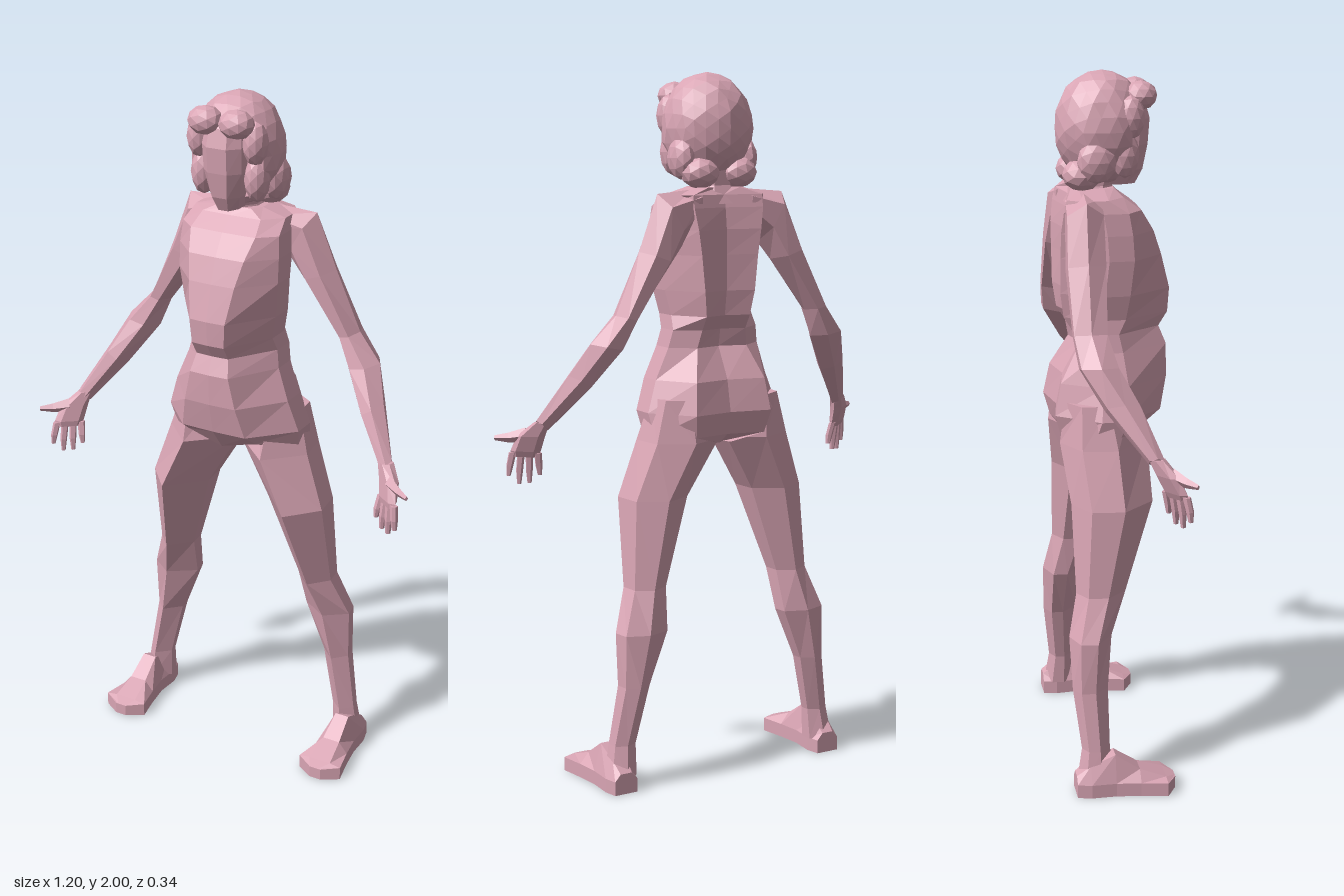
import * as THREE from 'three';

const skin = new THREE.MeshStandardMaterial({ color: 0xd9a5b4 });
skin.name = 'dustyPink';

// Faceted mesh: every triangle keeps its own normal
function faceted(name, geo) {
  const g = geo.index ? geo.toNonIndexed() : geo;
  g.deleteAttribute('uv');
  g.computeVertexNormals();
  const m = new THREE.Mesh(g, skin);
  m.name = name;
  return m;
}

// Closed skin over a list of equal-length rings; side = -1 mirrors in x
function loft(name, rings, side = 1) {
  const n = rings[0].length, pos = [], idx = [];
  rings.forEach(r => r.forEach(p => pos.push(p[0] * side, p[1], p[2])));
  for (let i = 0; i < rings.length - 1; i++) {
    for (let j = 0; j < n; j++) {
      const a = i * n + j, b = i * n + (j + 1) % n;
      idx.push(a, b, b + n, a, b + n, a + n);
    }
  }
  const e = (rings.length - 1) * n;
  for (let j = 1; j < n - 1; j++) idx.push(0, j + 1, j, e, e + j, e + j + 1);
  // Signed volume tells whether the winding faces outward
  const v = k => new THREE.Vector3().fromArray(pos, k * 3);
  let vol = 0;
  for (let k = 0; k < idx.length; k += 3) vol += v(idx[k]).dot(v(idx[k + 1]).cross(v(idx[k + 2])));
  if (vol < 0) idx.reverse();
  const g = new THREE.BufferGeometry();
  g.setAttribute('position', new THREE.Float32BufferAttribute(pos, 3));
  g.setIndex(idx);
  return faceted(name, g);
}

// Torso ring: front panel, flanks, back with a shallow spine groove
const torsoRing = ([y, fx, zf, hw, zs, bx, zb], dip = 0) => [
  [-fx, y + dip, zf], [0, y, zf + 0.003], [fx, y + dip, zf], [hw, y, zs], [hw, y, zs - 0.07],
  [bx, y, zb], [0, y, zb + 0.02], [-bx, y, zb], [-hw, y, zs - 0.07], [-hw, y, zs]];

function torso() {
  const rows = [
    [0.97, 0.02, 0.0, 0.03, -0.03, 0.02, -0.12],
    [0.995, 0.11, 0.085, 0.20, 0.0, 0.11, -0.15],
    [1.06, 0.10, 0.135, 0.21, 0.02, 0.12, -0.168],
    [1.15, 0.08, 0.155, 0.18, 0.03, 0.11, -0.15],
    [1.24, 0.06, 0.158, 0.145, 0.02, 0.08, -0.10],
    [1.29, 0.05, 0.138, 0.135, 0.01, 0.07, -0.11],
    [1.33, 0.05, 0.163, 0.13, 0.03, 0.07, -0.135],
    [1.40, 0.055, 0.167, 0.145, 0.04, 0.08, -0.145],
    [1.50, 0.07, 0.14, 0.155, 0.05, 0.09, -0.145],
    [1.57, 0.085, 0.115, 0.155, 0.045, 0.10, -0.145],
    [1.63, 0.10, 0.078, 0.15, 0.035, 0.11, -0.138],
    [1.665, 0.09, 0.03, 0.14, -0.02, 0.11, -0.13],
    [1.685, 0.05, 0.01, 0.07, -0.02, 0.05, -0.11]];
  return loft('torso', rows.map((r, i) => torsoRing(r, i === 1 ? 0.03 : 0)));
}

// Six-sided arm ring from an inner to an outer point
function armRing([ax, ay, bx, by, z, d]) {
  const at = (t, dz) => [ax + (bx - ax) * t, ay + (by - ay) * t, z + dz];
  return [at(0, 0), at(0.3, d), at(0.75, d), at(1, 0), at(0.75, -d), at(0.3, -d)];
}

function arm(side) {
  return loft('arm', [
    [0.08, 1.60, 0.08, 1.68, -0.08, 0.05],
    [0.12, 1.53, 0.20, 1.67, -0.09, 0.05],
    [0.16, 1.48, 0.26, 1.515, -0.095, 0.052],
    [0.275, 1.33, 0.335, 1.345, -0.10, 0.045],
    [0.305, 1.25, 0.405, 1.27, -0.085, 0.05],
    [0.38, 1.14, 0.445, 1.18, -0.03, 0.045],
    [0.475, 1.02, 0.51, 1.05, 0.045, 0.02]].map(armRing), side);
}

// Flat ring across the palm
const palmRing = ([x, y, z, w, t]) => [[-1, 0], [-0.6, 1], [0.6, 1], [1, 0], [0.6, -1], [-0.6, -1]]
  .map(([u, n]) => [x + 0.8 * u * w - 0.6 * n * t, y, z + 0.6 * u * w + 0.8 * n * t]);

function hand(side) {
  const g = new THREE.Group();
  g.name = 'hand';
  g.add(loft('palm', [
    [0.492, 1.045, 0.045, 0.022, 0.018],
    [0.515, 1.005, 0.07, 0.04, 0.018],
    [0.523, 0.96, 0.09, 0.043, 0.014],
    [0.523, 0.943, 0.094, 0.038, 0.009]].map(palmRing), side));
  const lengths = [0.06, 0.082, 0.085, 0.062];
  lengths.forEach((len, i) => {
    const u = (i - 1.5) * 0.024;
    const x = 0.523 + 0.8 * u, z = 0.092 + 0.6 * u;
    g.add(loft('finger', [
      [x, 0.955, z, 0.011, 0.009],
      [x + (i - 1.5) * 0.004, 0.95 - len * 0.55, z + 0.008, 0.010, 0.009],
      [x + (i - 1.5) * 0.006, 0.95 - len, z + 0.01, 0.006, 0.006]].map(palmRing), side));
  });
  const thumb = [[0.525, 1.005, 0.085, 0.022], [0.565, 0.998, 0.112, 0.014], [0.597, 0.997, 0.134, 0.007]];
  g.add(loft('thumb', thumb.map(([x, y, z, r]) =>
    [[0, 1], [1, 0], [0, -1], [-1, 0]].map(([a, b]) => [x - 0.6 * a * r * 0.7, y + b * r, z + 0.8 * a * r * 0.7])), side));
  return g;
}

// Six-sided leg ring with a ridge along the front
const legRing = ([y, xi, xo, zf, zb]) => {
  const w = xo - xi, d = zf - zb;
  return [[xi + w * 0.55, y, zf], [xo, y, zf - d * 0.4], [xo - w * 0.06, y, zb + d * 0.2],
    [xi + w * 0.5, y, zb], [xi + w * 0.04, y, zb + d * 0.2], [xi, y, zf - d * 0.45]];
};

function leg(side) {
  return loft('leg', [
    [1.10, 0.06, 0.19, 0.05, -0.14],
    [0.98, 0.005, 0.225, 0.092, -0.155],
    [0.82, 0.10, 0.28, 0.095, -0.135],
    [0.57, 0.18, 0.29, 0.01, -0.13],
    [0.45, 0.19, 0.335, -0.035, -0.155],
    [0.30, 0.25, 0.333, -0.05, -0.15],
    [0.13, 0.288, 0.36, -0.05, -0.13],
    [0.04, 0.29, 0.375, -0.04, -0.145]].map(legRing), side);
}

function foot(side) {
  const rows = [
    [-0.15, 0.305, 0.375, 0.06],
    [-0.11, 0.295, 0.385, 0.09],
    [-0.04, 0.30, 0.385, 0.12],
    [0.03, 0.29, 0.395, 0.072],
    [0.105, 0.275, 0.41, 0.045],
    [0.135, 0.325, 0.36, 0.035]];
  return loft('foot', rows.map(([z, a, b, h]) => {
    const s = (b - a) * 0.25;
    return [[a, 0, z], [b, 0, z], [b, Math.min(h, 0.04), z], [b - s, h, z], [a + s, h, z], [a, Math.min(h, 0.04), z]];
  }), side);
}

// Lumpy ball used for the hair and its curls
function curl(name, x, y, z, rx, ry, rz, detail = 1) {
  const g = new THREE.IcosahedronGeometry(1, detail);
  g.scale(rx, ry, rz).translate(x, y, z);
  return faceted(name, g);
}

function hair() {
  const g = new THREE.Group();
  g.name = 'hair';
  const cap = new THREE.IcosahedronGeometry(1, 3);
  const p = cap.attributes.position;
  for (let i = 0; i < p.count; i++) {
    const x = p.getX(i), y = p.getY(i), z = p.getZ(i);
    const k = 1 + 0.025 * Math.sin(x * 9 + y * 5) * Math.cos(z * 8 + y * 4);
    const X = x * 0.128 * k, Y = Math.min(1.845 + y * 0.155 * k, 2);
    let Z = -0.015 + z * 0.13 * k;
    // Hollow the front so that the face shows
    if (Y < 1.93 && Z > 0.04) Z = Math.abs(X) < 0.06 ? 0.03 : 0.05;
    p.setXYZ(i, X, Y, Z);
  }
  g.add(faceted('hairCap', cap));
  for (const s of [-1, 1]) {
    g.add(curl('fringeCurl', s * 0.047, 1.935, 0.085, 0.05, 0.04, 0.045));
    g.add(curl('templeCurl', s * 0.085, 1.88, 0.05, 0.035, 0.06, 0.04));
    g.add(curl('cheekCurl', s * 0.082, 1.78, 0.035, 0.035, 0.065, 0.04));
    g.add(curl('earCurl', s * 0.10, 1.765, -0.045, 0.034, 0.06, 0.055));
    g.add(curl('napeCurl', s * 0.06, 1.725, -0.08, 0.055, 0.045, 0.055));
  }
  return g;
}

// Ring shared by the face and neck
const headRing = ([y, w, zf, zb]) => [[-w * 0.5, y, zf], [w * 0.5, y, zf], [w, y, zf - 0.03],
  [w, y, zb + 0.03], [w * 0.5, y, zb], [-w * 0.5, y, zb], [-w, y, zb + 0.03], [-w, y, zf - 0.03]];

export function createModel() {
  const model = new THREE.Group();
  model.name = 'figure';
  model.add(torso());
  model.add(loft('neck', [[1.64, 0.075, 0.0, -0.12], [1.69, 0.05, 0.01, -0.10], [1.76, 0.05, 0.03, -0.10]].map(headRing)));
  model.add(loft('face', [[1.69, 0.03, 0.075, -0.02], [1.73, 0.045, 0.095, -0.05], [1.80, 0.058, 0.108, -0.05],
    [1.87, 0.06, 0.113, -0.05], [1.92, 0.055, 0.10, -0.05], [1.945, 0.04, 0.08, -0.05]].map(headRing)));
  model.add(hair());
  for (const side of [-1, 1]) model.add(arm(side), hand(side), leg(side), foot(side));
  return model;
}
